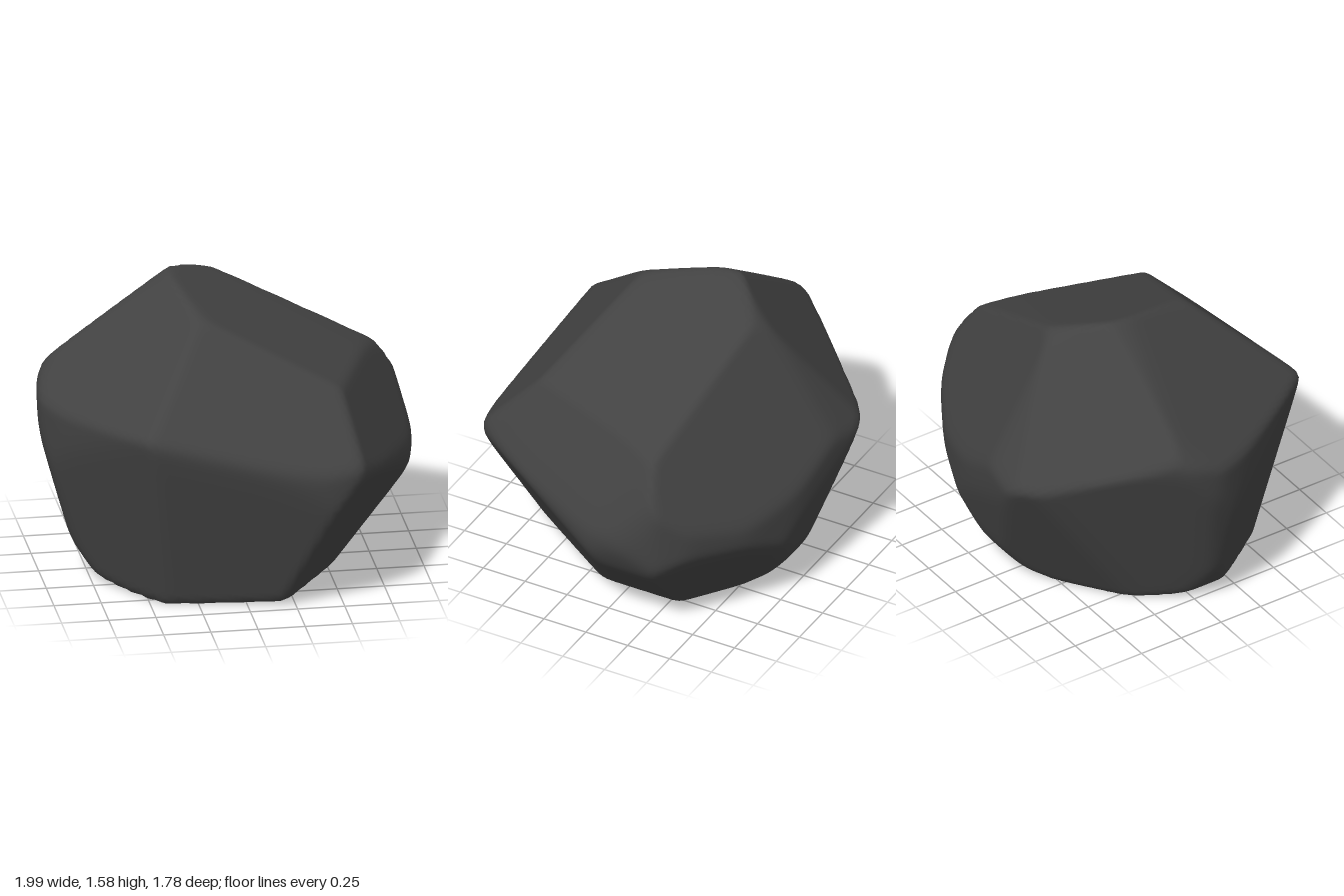
import * as THREE from 'three';
import { mergeVertices } from 'three/addons/utils/BufferGeometryUtils.js';

const CENTER = new THREE.Vector3(0, 0.78, 0);

// Broad worn facets: normal x, y, z and distance from the origin
const FACETS = [
  [0.45, 1, 0.12, 1.43],        // top
  [0.1, 0.69, 0.72, 1.218],     // upper front
  [-0.165, -0.24, 0.95, 0.625], // lower front
  [0.84, 0.45, 0.28, 1.09],     // left side
  [0.72, -0.5, 0.48, 0.45],     // lower left front
  [0.48, -0.56, -0.67, 0.45],   // lower left back
  [0.36, 0.48, -0.8, 1.05],     // back
  [-0.45, 0.62, -0.64, 1.245],  // upper right back
  [-0.56, 0.72, 0.3, 1.262],    // upper right front
  [-0.78, -0.22, 0.58, 0.67],   // lower right front
  [-0.82, -0.31, -0.57, 0.6],   // lower right side
  [-0.5, -0.42, -0.7, 0.46],    // lower right back
];

// Outlines that chip the corners, each on a pair of axes
const OUTLINES = [
  { axes: ['x', 'y'], points: [[-0.25, 1.6], [0.82, 1.07], [0.91, 0.97], [1, 0.59], [0.93, 0.42],
    [0.52, 0], [-0.57, 0], [-0.72, 0.04], [-0.84, 0.21], [-0.95, 0.6], [-1, 0.8], [-1, 1], [-0.88, 1.16]] },
  { axes: ['z', 'y'], points: [[0.9, 0.75], [0.9, 0.6], [0.84, 0.4], [0.72, 0.04], [0.57, 0],
    [-0.5, 0], [-0.62, 0.06], [-0.74, 0.21], [-0.9, 0.78], [-0.5, 1.43], [-0.25, 1.6], [-0.1, 1.6],
    [0.37, 1.44], [0.6, 1.27], [0.8, 1.02]] },
  { axes: ['x', 'z'], points: [[-0.38, -0.9], [-0.53, -0.8], [-0.78, -0.5], [-0.98, -0.18], [-1, 0],
    [-0.93, 0.18], [-0.55, 0.81], [0.2, 0.89], [0.4, 0.89], [0.58, 0.84], [0.67, 0.71], [0.97, 0],
    [1, -0.18], [0.95, -0.38], [0.84, -0.52], [0.53, -0.71], [0.2, -0.82]] },
];

// Every plane becomes its normal divided by its distance from the centre
function cuttingPlanes() {
  const planes = FACETS.map(([x, y, z, d]) => {
    const n = new THREE.Vector3(x, y, z);
    return n.divideScalar(d - n.dot(CENTER));
  });
  for (const { axes: [u, v], points } of OUTLINES) {
    points.forEach((a, i) => {
      const b = points[(i + 1) % points.length];
      const n = new THREE.Vector3();
      n[u] = b[1] - a[1];
      n[v] = a[0] - b[0];
      const d = n[u] * (a[0] - CENTER[u]) + n[v] * (a[1] - CENTER[v]);
      planes.push(n.divideScalar(d));
    });
  }
  return planes;
}

// Shrink a fine sphere onto the planes, with softly rounded edges
function rockGeometry() {
  const planes = cuttingPlanes();
  let geo = new THREE.IcosahedronGeometry(1, 32);
  geo.deleteAttribute('uv');
  geo.deleteAttribute('normal');
  geo = mergeVertices(geo, 1e-4);
  const pos = geo.attributes.position;
  const dir = new THREE.Vector3();
  const softness = 95;
  for (let i = 0; i < pos.count; i++) {
    dir.fromBufferAttribute(pos, i).normalize();
    let sum = 0;
    for (const p of planes) sum += Math.pow(Math.max(0, p.dot(dir)), softness);
    // Dividing the sum offsets the loss where planes meet
    dir.multiplyScalar(Math.pow(sum / 2.5, -1 / softness)).add(CENTER);
    pos.setXYZ(i, dir.x, Math.max(0, dir.y), dir.z);
  }
  geo.computeVertexNormals();
  return geo;
}

export function createModel() {
  const group = new THREE.Group();
  group.name = 'boulder';
  const rock = new THREE.Mesh(rockGeometry(), new THREE.MeshStandardMaterial({ color: 0x424242 }));
  rock.name = 'rock';
  group.add(rock);
  return group;
}
